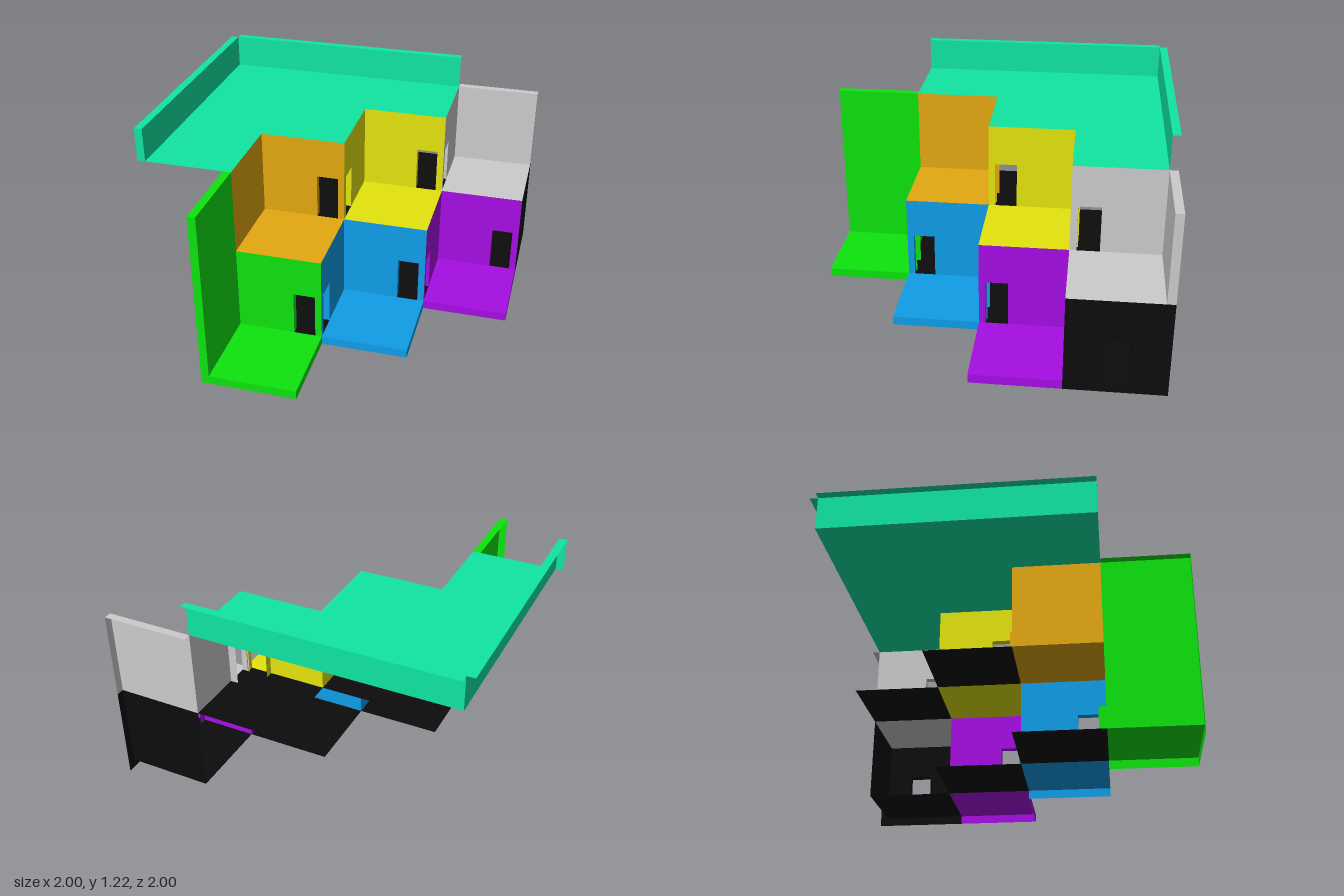
import * as THREE from 'three';

// Shared grid lines for x and z, storey heights, wall depth
const G = [-0.955, -0.465, 0.022, 0.511, 1.0];
const Y = [0.05, 0.54, 1.03];
const T = 0.045;
const DOOR_H = 0.26;

const paint = (color) => new THREE.MeshStandardMaterial({ color, side: THREE.DoubleSide, flatShading: true });

export function createModel() {
  const model = new THREE.Group();
  const green = paint(0x0ee40e), blue = paint(0x109de8), purple = paint(0xa60ee4);
  const orange = paint(0xe4a810), yellow = paint(0xe4e40e), grey = paint(0xcccccc);
  const teal = paint(0x10e6a2), black = paint(0x0c0c0c);

  const group = (name) => {
    const g = new THREE.Group();
    g.name = name;
    model.add(g);
    return g;
  };
  const add = (g, name, geo, mat) => {
    const m = new THREE.Mesh(geo, mat);
    m.name = name;
    g.add(m);
  };

  // Horizontal sheet
  const slab = (g, name, mat, x0, x1, z0, z1, y) => {
    const geo = new THREE.PlaneGeometry(x1 - x0, z1 - z0).rotateX(-Math.PI / 2);
    add(g, name, geo.translate((x0 + x1) / 2, y, (z0 + z1) / 2), mat);
  };

  // Upright sheet at 'pos' on axis 'x' or 'z', spanning u0..u1, with an optional doorway [d0, d1]
  const wall = (g, name, mat, axis, pos, u0, u1, y0, y1, door) => {
    const place = (geo) => axis === 'z'
      ? geo.translate(0, 0, pos)
      : geo.rotateY(-Math.PI / 2).translate(pos, 0, 0);
    const pts = [[u0, y0]];
    if (door) {
      const [a, b] = door, top = y0 + DOOR_H;
      pts.push([a, y0], [a, top], [b, top], [b, y0]);
    }
    pts.push([u1, y0], [u1, y1], [u0, y1]);
    const shape = new THREE.Shape(pts.map(([u, y]) => new THREE.Vector2(u, y)));
    add(g, name, place(new THREE.ShapeGeometry(shape)), mat);
    if (!door) return;
    // Door reveal: two jambs and a head behind the wall
    const [a, b] = door, top = y0 + DOOR_H;
    const other = axis === 'z' ? 'x' : 'z';
    for (const u of door) wall(g, 'doorJamb', mat, other, u, pos - T, pos, y0, top);
    if (axis === 'z') slab(g, 'doorHead', mat, a, b, pos - T, pos, top);
    else slab(g, 'doorHead', mat, pos - T, pos, a, b, top);
  };

  // Room corner: floor, back wall and left wall in grid cell (i, k) on a storey
  const room = (name, mat, i, k, storey, { back = true, left = true } = {}) => {
    const g = group(name);
    const [x0, x1, z0, z1] = [G[i], G[i + 1], G[k], G[k + 1]];
    const [y0, y1] = [Y[storey], Y[storey + 1]];
    const doorway = (end) => [end - 0.162, end - 0.038];
    slab(g, 'floor', mat, x0, x1, z0, z1, y0);
    wall(g, 'backWall', mat, 'z', z0, x0, x1, y0, y1, back && doorway(x1));
    if (left !== 'none') wall(g, 'leftWall', mat, 'x', x0, z0, z1, y0, y1, left && doorway(z1));
    if (storey === 0) {
      wall(g, 'frontFloorEdge', mat, 'z', z1, x0, x1, 0, y0);
      wall(g, 'rightFloorEdge', mat, 'x', x1, z0, z1, 0, y0);
    }
    return g;
  };

  // Lower rooms
  const greenRoom = room('greenRoom', green, 1, 3, 0, { left: 'none' });
  room('blueRoom', blue, 2, 2, 0);
  room('purpleRoom', purple, 3, 1, 0);

  // Two-storey green side wall with its top and front end
  wall(greenRoom, 'tallLeftWall', green, 'x', G[1], G[3], G[4], Y[0], Y[2]);
  slab(greenRoom, 'tallWallTop', green, G[1] - T, G[1], G[3], G[4], Y[2]);
  wall(greenRoom, 'tallWallEnd', green, 'z', G[4], G[1] - T, G[1], 0, Y[2]);

  // Upper rooms
  room('orangeRoom', orange, 1, 2, 1, { left: false });
  room('yellowRoom', yellow, 2, 1, 1);
  const greyRoom = room('greyRoom', grey, 3, 0, 1, { back: false });
  slab(greyRoom, 'backWallTop', grey, G[3], G[4], G[0] - T, G[0], Y[2]);
  wall(greyRoom, 'backWallEnd', grey, 'x', G[4], G[0] - T, G[0], Y[1], Y[2]);

  // Dark spaces behind the room walls
  const dark = group('hiddenSpaces');
  for (const [i, k, s] of [[3, 0, 0], [2, 1, 0], [1, 2, 0], [2, 0, 1], [1, 1, 1]]) {
    slab(dark, 'hiddenFloor', black, G[i], G[i + 1], G[k], G[k + 1], Y[s]);
  }
  wall(dark, 'hiddenBackWall', black, 'z', G[0], G[3], G[4], Y[0], Y[1]);
  wall(dark, 'outerRightWall', black, 'x', G[4], G[0] - T, G[1], Y[0], Y[1], [-0.8, -0.67]);
  wall(dark, 'outerWallBase', black, 'x', G[4], G[0] - T, G[1], 0, Y[0]);

  // Stepped roof terrace with parapets at the back and left
  const roof = group('roofTerrace');
  const ROOF = 1.22;
  for (let i = 0; i < 3; i++) slab(roof, 'roofDeck', teal, G[i], G[i + 1], G[0], G[3 - i], Y[2]);
  wall(roof, 'backParapet', teal, 'z', G[0], G[0], G[3], Y[2], ROOF);
  slab(roof, 'backParapetTop', teal, G[0], G[3], G[0] - T, G[0], ROOF);
  wall(roof, 'leftParapet', teal, 'x', G[0], G[0], G[3], Y[2], ROOF);
  slab(roof, 'leftParapetTop', teal, G[0] - T, G[0], G[0], G[3], ROOF);
  wall(roof, 'leftParapetEnd', teal, 'z', G[3], G[0] - T, G[0], Y[2], ROOF);

  return model;
}
